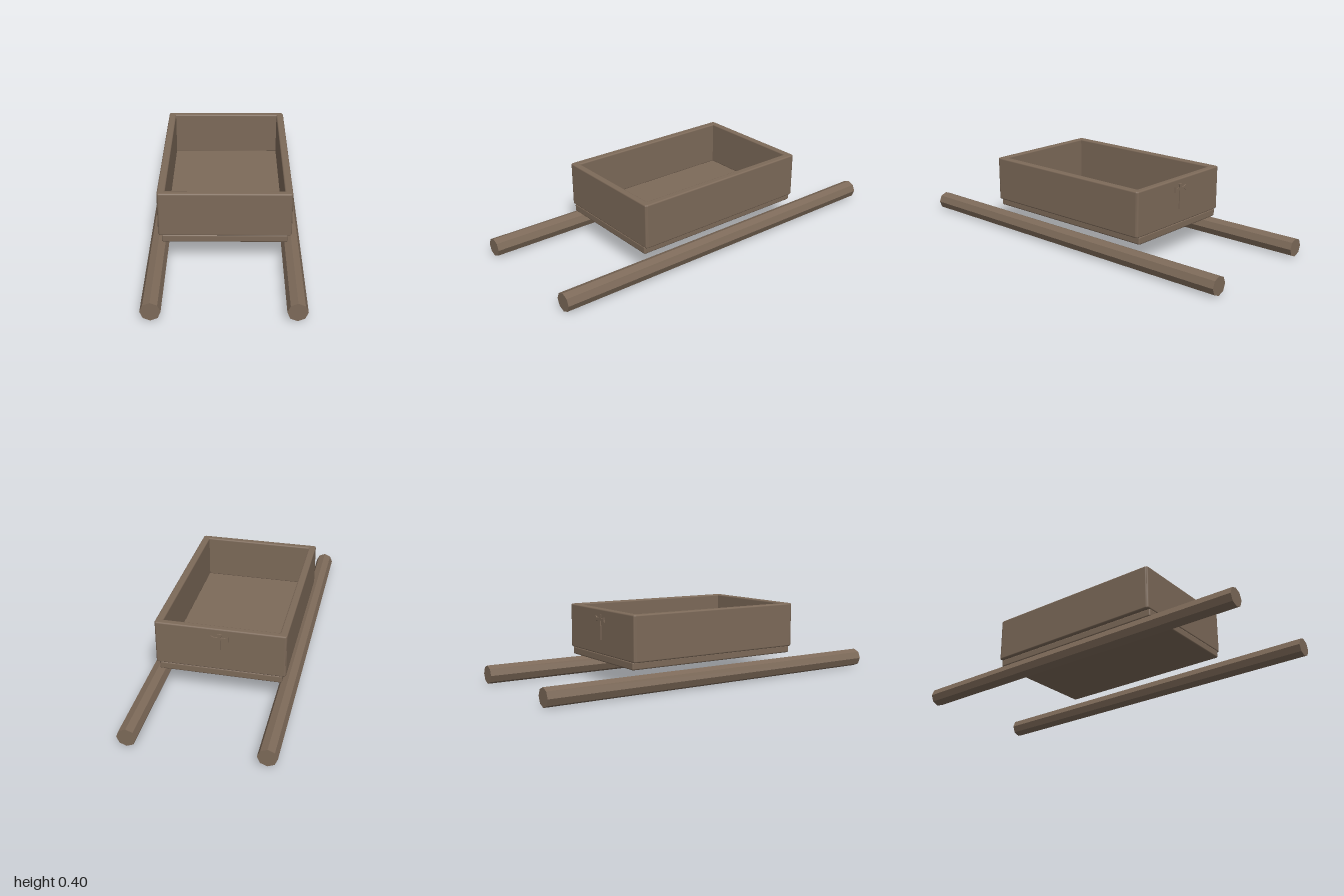
import * as THREE from 'three';
import { RoundedBoxGeometry } from 'three/addons/geometries/RoundedBoxGeometry.js';

export function createModel() {
  const group = new THREE.Group();
  const wood = new THREE.MeshStandardMaterial({ color: 0x7d6a59 });
  wood.name = 'brown wood';

  function add(name, geometry, x, y, z) {
    const mesh = new THREE.Mesh(geometry, wood);
    mesh.name = name;
    mesh.position.set(x, y, z);
    group.add(mesh);
    return mesh;
  }
  const board = (w, h, d) => new RoundedBoxGeometry(w, h, d, 2, 0.008);

  // Floor slab, slightly narrower than the walls
  add('floor', board(0.638, 0.042, 1.016), 0, 0.14, 0);

  // Four walls of the open box
  for (const side of [1, -1]) {
    add(side > 0 ? 'leftWall' : 'rightWall', board(0.04, 0.239, 1.006), side * 0.318, 0.277, 0);
    add(side > 0 ? 'frontWall' : 'backWall', board(0.67, 0.239, 0.036), 0, 0.277, side * 0.491);
  }

  // Octagonal carrying poles, faceted
  for (const side of [1, -1]) {
    const geometry = new THREE.CylinderGeometry(0.049, 0.049, 2, 8).rotateX(Math.PI / 2).toNonIndexed();
    geometry.computeVertexNormals();
    add(side > 0 ? 'leftPole' : 'rightPole', geometry, side * 0.34, 0.049, 0);
  }

  // Raised cross on the back wall, with flared arm ends
  const half = [
    [0.007, 0.235], [0.007, 0.336], [0.03, 0.336], [0.045, 0.329],
    [0.045, 0.357], [0.03, 0.35], [0.007, 0.35], [0.012, 0.37],
  ];
  const outline = [...half, ...half.map(([x, y]) => [-x, y]).reverse()];
  const shape = new THREE.Shape(outline.map(([x, y]) => new THREE.Vector2(x, y)));
  add('cross', new THREE.ExtrudeGeometry(shape, { depth: 0.008, bevelEnabled: false }), 0, 0, -0.515);

  return group;
}
